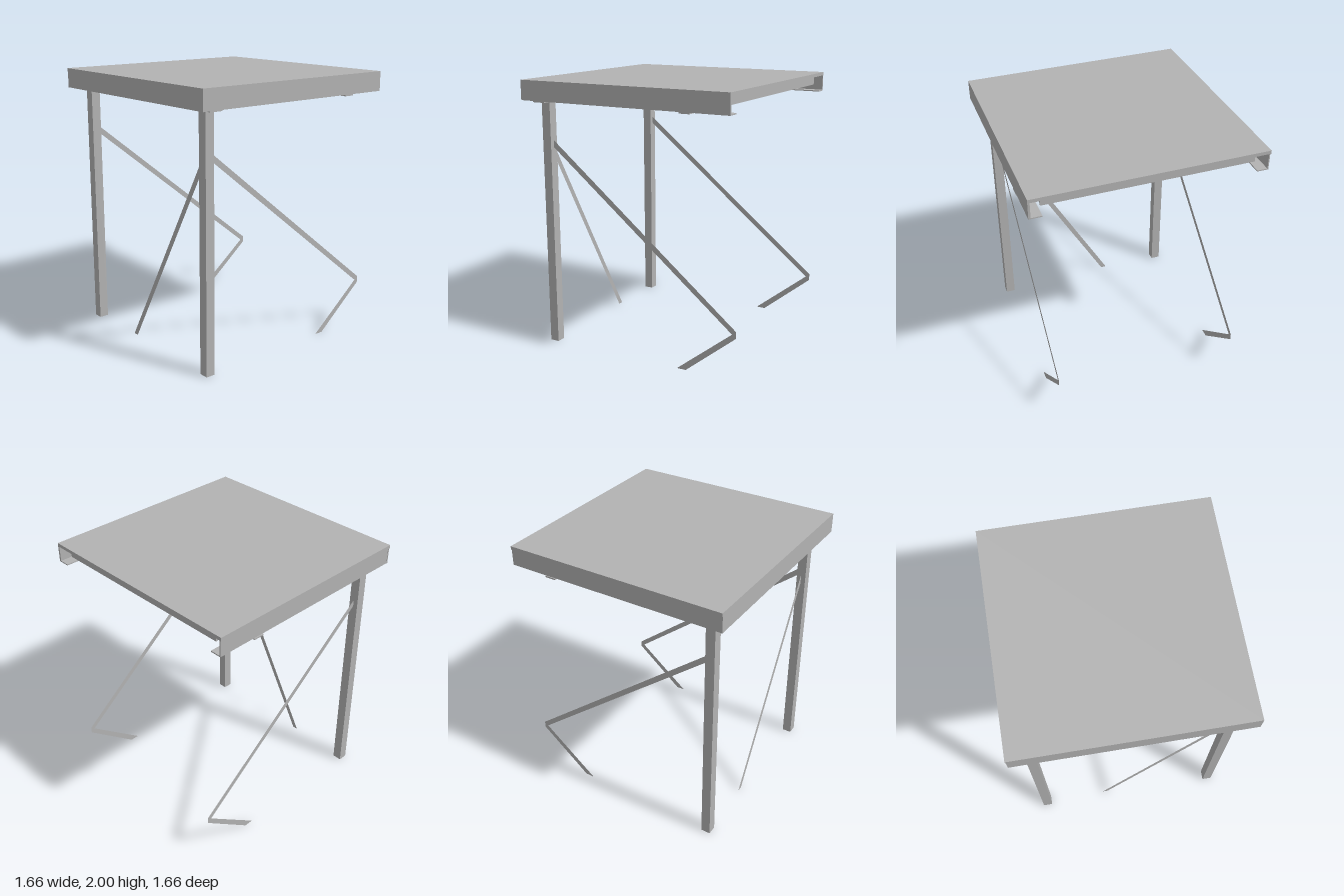
import * as THREE from 'three';

export function createModel() {
  const model = new THREE.Group();
  const grey = new THREE.MeshStandardMaterial({ color: 0xb2b2b2, side: THREE.DoubleSide });
  grey.name = 'paleGrey';

  const add = (name, geometry) => {
    const mesh = new THREE.Mesh(geometry, grey);
    mesh.name = name;
    model.add(mesh);
    return mesh;
  };
  // Box given by its lower and upper limits on each axis
  const box = (name, [x0, x1], [y0, y1], [z0, z1]) => {
    const mesh = add(name, new THREE.BoxGeometry(x1 - x0, y1 - y0, z1 - z0));
    mesh.position.set((x0 + x1) / 2, (y0 + y1) / 2, (z0 + z1) / 2);
    return mesh;
  };
  const sheet = (points) =>
    new THREE.ShapeGeometry(new THREE.Shape(points.map(([x, y]) => new THREE.Vector2(x, y))));

  // Top panel with its thin rim
  box('topPanel', [-0.83, 0.83], [1.975, 2], [-0.83, 0.83]);

  // Side fascia with an inward lower flange
  box('sideFascia', [-0.83, -0.82], [1.855, 1.975], [-0.825, 0.825]);
  box('sideFlange', [-0.82, -0.74], [1.855, 1.863], [-0.82, 0.82]);

  // Rails under the panel
  box('openSideRail', [0.77, 0.785], [1.908, 1.975], [-0.74, 0.74]);
  box('crossRail', [-0.01, 0.01], [1.908, 1.975], [-0.82, 0.82]);

  // Hollow square leg section
  const square = (h) => [[-h, -h], [h, -h], [h, h], [-h, h]].map(([x, y]) => new THREE.Vector2(x, y));
  const legShape = new THREE.Shape(square(0.035));
  legShape.holes.push(new THREE.Path(square(0.03)));

  for (const s of [1, -1]) {
    const end = s > 0 ? 'front' : 'back';
    const span = (a, b) => (s > 0 ? [a, b] : [-b, -a]);

    // Front and back fascias with flanges
    box(end + 'Fascia', [-0.83, 0.83], [1.855, 1.975], span(0.815, s > 0 ? 0.83 : 0.823));
    box(end + 'Flange', [-0.82, 0.83], [1.855, 1.863], span(0.74, 0.82));

    // Leg with its mounting plates
    const leg = add(end + 'Leg', new THREE.ExtrudeGeometry(legShape, { depth: 1.86, bevelEnabled: false }));
    leg.rotation.x = -Math.PI / 2;
    leg.position.set(-0.694, 0, s * 0.692);
    box(end + 'LegPlate', [-0.75, -0.65], [1.842, 1.855], span(0.645, 0.8));
    box(end + 'LegBlock', [-0.75, -0.65], [1.863, 1.905], span(0.645, 0.735));
    box(end + 'MountPlate', [0.46, 0.54], [1.845, 1.855], span(0.65, 0.83));

    // Long bent brace
    add(end + 'Brace', sheet([
      [-0.66, 1.56], [-0.66, 1.507], [0.8, 0.345], [0.37, 0], [0.44, 0], [0.83, 0.32], [0.83, 0.37],
    ])).position.z = s * 0.692;
  }

  // Side brace running back from the front leg
  const side = add('sideBrace', sheet([[-0.657, 1.535], [-0.657, 1.455], [0.17, 0], [0.213, 0]]));
  side.rotation.y = Math.PI / 2;
  side.position.x = -0.694;

  return model;
}
